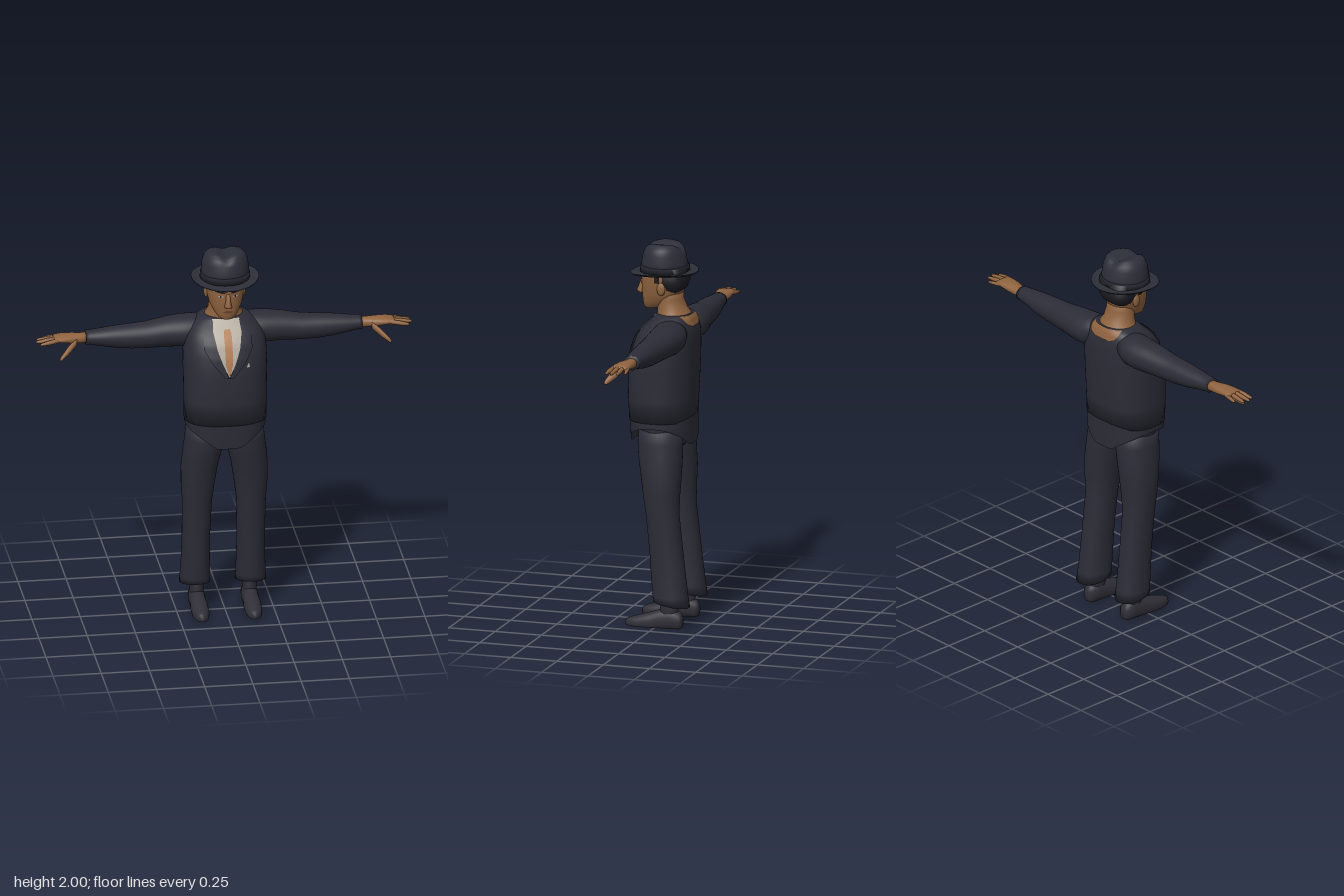
import * as THREE from 'three';

const mat = (name, color, side = THREE.FrontSide) => {
  const m = new THREE.MeshStandardMaterial({ color, side });
  m.name = name;
  return m;
};

// Rounded-section skin over rings [y, rx, rz, cx, cz], listed upwards; n sets the squareness
function loft(rings, n = 2, seg = 40, cap = true, rule = null) {
  const pos = [], idx = [], k = rings.length;
  const pw = v => Math.sign(v) * Math.abs(v) ** (2 / n);
  for (const [y, rx, rz, cx = 0, cz = 0] of rings) {
    for (let j = 0; j < seg; j++) {
      const t = (j / seg) * Math.PI * 2;
      pos.push(cx + rx * pw(Math.cos(t)), y, cz + rz * pw(Math.sin(t)));
    }
  }
  for (let i = 0; i < k - 1; i++) {
    for (let j = 0; j < seg; j++) {
      const a = i * seg + j, b = i * seg + (j + 1) % seg;
      idx.push(a, a + seg, b, b, a + seg, b + seg);
    }
  }
  if (cap) {
    for (const i of [0, k - 1]) {
      const c = pos.length / 3, [y, , , cx = 0, cz = 0] = rings[i];
      pos.push(cx, y, cz);
      for (let j = 0; j < seg; j++) {
        const a = i * seg + j, b = i * seg + (j + 1) % seg;
        if (i) idx.push(a, c, b); else idx.push(b, c, a);
      }
    }
  }
  return finish(pos, idx, rule);
}

function finish(pos, idx, rule) {
  const g = new THREE.BufferGeometry();
  g.setAttribute('position', new THREE.Float32BufferAttribute(pos, 3));
  g.setIndex(idx);
  return rule ? bend(g, rule) : (g.computeVertexNormals(), g);
}

// Move every vertex by a rule
function bend(g, rule) {
  const p = g.attributes.position, v = new THREE.Vector3();
  for (let i = 0; i < p.count; i++) {
    rule(v.fromBufferAttribute(p, i));
    p.setXYZ(i, v.x, v.y, v.z);
  }
  g.computeVertexNormals();
  return g;
}

// Lofts running along x or z: rings [x, ry, rz, y, z] or [z, rx, ry, x, y]
const alongX = (r, n, seg) => loft(r.map(([x, ry, rz, y, z]) => [x, ry, rz, -y, z]), n, seg).rotateZ(-Math.PI / 2);
const alongZ = (r, n, seg) => loft(r.map(([z, rx, ry, x, y]) => [z, rx, ry, x, -y]), n, seg).rotateX(Math.PI / 2);

function mirror(g) {
  const m = g.clone().scale(-1, 1, 1), a = m.index.array;
  for (let i = 0; i < a.length; i += 3) [a[i], a[i + 1]] = [a[i + 1], a[i]];
  return m;
}

// Depth of a lofted surface at x, y
function surfaceZ(rings, n, x, y, s) {
  let i = 0;
  while (i < rings.length - 2 && y > rings[i + 1][0]) i++;
  const A = rings[i], B = rings[i + 1];
  const t = THREE.MathUtils.clamp((y - A[0]) / (B[0] - A[0]), 0, 1);
  const [, rx, rz, , cz] = A.map((v, q) => v + (B[q] - v) * t);
  return cz + s * rz * Math.max(0, 1 - Math.abs(x / rx) ** n) ** (1 / n);
}

// Thin panel hugging a lofted surface; rows [y, x0, x1] listed downwards
function panel(rings, n, rows, lift = 0.005, s = 1) {
  const pos = [], idx = [], sub = 6, cols = 8, total = (rows.length - 1) * sub;
  for (let i = 0; i <= total; i++) {
    const r = Math.min(Math.floor(i / sub), rows.length - 2), t = i / sub - r;
    const [y, x0, x1] = rows[r].map((v, q) => v + (rows[r + 1][q] - v) * t);
    for (let j = 0; j <= cols; j++) {
      const x = x0 + (x1 - x0) * j / cols;
      pos.push(x, y, surfaceZ(rings, n, x, y, s) + s * lift);
    }
  }
  for (let i = 0; i < total; i++) {
    for (let j = 0; j < cols; j++) {
      const a = i * (cols + 1) + j, b = a + cols + 1;
      if (s > 0) idx.push(a, b, a + 1, a + 1, b, b + 1);
      else idx.push(a, a + 1, b, a + 1, b + 1, b);
    }
  }
  return finish(pos, idx);
}

const TORSO = [
  [1.085, 0.213, 0.163, 0, 0.005], [1.2, 0.212, 0.17, 0, 0.005], [1.35, 0.215, 0.172, 0, 0],
  [1.45, 0.215, 0.165, 0, -0.01], [1.52, 0.208, 0.152, 0, -0.022], [1.56, 0.192, 0.137, 0, -0.033],
  [1.59, 0.172, 0.117, 0, -0.044], [1.615, 0.142, 0.1, 0, -0.054], [1.635, 0.11, 0.085, 0, -0.058]];
const HEAD = [
  [1.652, 0.03, 0.028, 0, 0.07], [1.662, 0.047, 0.052, 0, 0.056], [1.69, 0.068, 0.085, 0, 0.028],
  [1.73, 0.086, 0.105, 0, 0.011], [1.78, 0.096, 0.117, 0, 0.001], [1.83, 0.1, 0.121, 0, -0.002],
  [1.88, 0.1, 0.118, 0, -0.002], [1.92, 0.08, 0.09, 0, 0]];

export function createModel() {
  const model = new THREE.Group();
  const suit = mat('suit cloth', 0x2b2c36, THREE.DoubleSide), felt = mat('hat felt', 0x2d2f39);
  const bandMat = mat('hat band', 0x25262f), leather = mat('shoe leather', 0x302f38);
  const skin = mat('skin', 0x8f633f), hair = mat('hair', 0x1b1a20), shirt = mat('shirt', 0xb4ab9e);
  const tie = mat('tie', 0xb07b52), lips = mat('lips', 0x70432f), eyeWhite = mat('eye white', 0xa9a6a6);
  const add = (name, g, m) => {
    const mesh = new THREE.Mesh(g, m);
    mesh.name = name;
    model.add(mesh);
  };
  const pair = (name, g, m) => {
    add('left' + name, g, m);
    add('right' + name, mirror(g), m);
  };

  // Jacket with its pointed lower layer
  add('jacket', loft(TORSO, 2.5, 56), suit);
  add('jacketTails', loft([[1.055, 0.208, 0.16, 0, 0], [1.09, 0.209, 0.162, 0, 0.002], [1.12, 0.205, 0.16, 0, 0.003]], 2.5, 56, false, v => {
    if (v.y < 1.06) v.y -= Math.min(0.1, 0.14 * (1 - Math.abs(v.x) / 0.208));
  }), suit);
  pair('Lapel', panel(TORSO, 2.5, [[1.625, 0.068, 0.09], [1.58, 0.073, 0.122], [1.5, 0.058, 0.125], [1.43, 0.033, 0.085], [1.355, 0, 0.02]], 0.009), suit);
  add('shirtFront', panel(TORSO, 2.5, [[1.63, -0.07, 0.07], [1.58, -0.076, 0.076], [1.5, -0.061, 0.061], [1.43, -0.036, 0.036], [1.36, 0, 0]]), shirt);
  add('tie', panel(TORSO, 2.5, [[1.59, -0.014, 0.014], [1.57, -0.02, 0.02], [1.43, -0.019, 0.019], [1.37, -0.004, 0.004]], 0.008), tie);
  add('pocketSquare', panel(TORSO, 2.5, [[1.425, 0.098, 0.104], [1.405, 0.09, 0.108]], 0.007), shirt);

  // Sleeves
  pair('Sleeve', alongX([
    [0.1, 0.07, 0.08, 1.55, -0.075], [0.16, 0.083, 0.095, 1.537, -0.075], [0.22, 0.083, 0.095, 1.535, -0.077],
    [0.3, 0.077, 0.084, 1.533, -0.074], [0.4, 0.069, 0.073, 1.525, -0.065], [0.48, 0.065, 0.067, 1.524, -0.062],
    [0.56, 0.058, 0.061, 1.526, -0.06], [0.65, 0.044, 0.05, 1.53, -0.057], [0.7, 0.037, 0.043, 1.532, -0.057],
    [0.715, 0.038, 0.044, 1.532, -0.057]]), suit);

  // Hands
  pair('Palm', alongX([
    [0.7, 0.026, 0.03, 1.531, -0.056], [0.74, 0.025, 0.032, 1.532, -0.055], [0.79, 0.024, 0.043, 1.536, -0.05],
    [0.84, 0.019, 0.047, 1.54, -0.048], [0.875, 0.014, 0.045, 1.54, -0.047], [0.882, 0.008, 0.04, 1.54, -0.047]], 2.3, 24), skin);
  const finger = (name, a, b, r0, r1) => {
    const ring = (t, r) => [a[0] + (b[0] - a[0]) * t, r, r, a[1] + (b[1] - a[1]) * t, a[2] + (b[2] - a[2]) * t];
    pair(name, alongX([ring(0, r0), ring(0.5, r0), ring(0.9, r1), ring(0.98, r1 * 0.6), ring(1, r1 * 0.2)], 2, 12), skin);
  };
  finger('IndexFinger', [0.86, 1.54, -0.012], [0.957, 1.527, 0.002], 0.012, 0.008);
  finger('MiddleFinger', [0.86, 1.541, -0.036], [0.975, 1.53, -0.031], 0.012, 0.008);
  finger('RingFinger', [0.86, 1.54, -0.06], [0.968, 1.53, -0.064], 0.0115, 0.008);
  finger('LittleFinger', [0.85, 1.537, -0.083], [0.932, 1.528, -0.095], 0.01, 0.007);
  finger('Thumb', [0.765, 1.524, -0.025], [0.86, 1.45, 0.037], 0.021, 0.013);

  // Trousers, ankles and shoes
  add('trouserSeat', loft([[0.935, 0.13, 0.09, 0, -0.012], [0.965, 0.192, 0.112, 0, -0.013], [1.05, 0.2, 0.125, 0, -0.008], [1.1, 0.2, 0.135, 0, 0]], 2.4), suit);
  pair('TrouserLeg', loft([
    [0.12, 0.145 - 0.065, 0.095, 0.145, -0.085], [0.17, 0.077, 0.092, 0.144, -0.079], [0.28, 0.073, 0.09, 0.143, -0.068],
    [0.4, 0.072, 0.087, 0.142, -0.057], [0.6, 0.076, 0.086, 0.14, -0.035], [0.7, 0.086, 0.095, 0.137, -0.029],
    [0.8, 0.094, 0.105, 0.13, -0.025], [0.9, 0.1, 0.114, 0.114, -0.016], [0.97, 0.102, 0.117, 0.103, -0.012],
    [1.04, 0.098, 0.11, 0.1, -0.01]], 2.2, 40, true, v => {
    if (v.y < 0.13) v.y = 0.143 + 0.16 * v.z;
  }), suit);
  pair('Ankle', loft([[0.06, 0.036, 0.05, 0.137, -0.07], [0.2, 0.036, 0.046, 0.138, -0.075]], 2, 24), leather);
  pair('Shoe', bend(alongZ([
    [-0.14, 0.022, 0.03, 0.137, 0.034], [-0.128, 0.037, 0.048, 0.137, 0.038], [-0.08, 0.043, 0.06, 0.137, 0.045],
    [-0.02, 0.041, 0.056, 0.137, 0.036], [0.03, 0.045, 0.05, 0.137, 0.025], [0.09, 0.044, 0.042, 0.137, 0.015],
    [0.14, 0.031, 0.032, 0.137, 0.01], [0.158, 0.018, 0.024, 0.137, 0.01], [0.165, 0.006, 0.01, 0.137, 0.01]], 2.2, 28), v => {
    v.y = Math.max(0, v.y);
  }), leather);

  // Neck, with the open back of the collar
  add('neck', loft([
    [1.57, 0.1, 0.09, 0, -0.065], [1.6, 0.118, 0.097, 0, -0.061], [1.632, 0.1, 0.087, 0, -0.053],
    [1.66, 0.083, 0.077, 0, -0.043], [1.71, 0.078, 0.068, 0, -0.032], [1.78, 0.078, 0.07, 0, -0.03]]), skin);
  add('napeSkin', panel(TORSO, 2.5, [[1.635, -0.1, 0.1], [1.61, -0.1, 0.1], [1.59, -0.085, 0.085], [1.578, -0.05, 0.05]], 0.006, -1), skin);

  // Head and face
  add('head', loft(HEAD, 2.2, 48), skin);
  add('nose', loft([
    [1.724, 0.012, 0.012, 0, 0.118], [1.731, 0.02, 0.028, 0, 0.118], [1.74, 0.018, 0.032, 0, 0.118],
    [1.765, 0.012, 0.022, 0, 0.117], [1.8, 0.01, 0.01, 0, 0.115]], 2, 20), skin);
  pair('Ear', new THREE.SphereGeometry(1, 16, 12).scale(0.011, 0.034, 0.022).translate(0.097, 1.772, -0.012), skin);
  pair('Eyebrow', panel(HEAD, 2.2, [[1.82, 0.035, 0.05], [1.812, 0.014, 0.066], [1.805, 0.014, 0.034]], 0.004), hair);
  pair('EyeWhite', panel(HEAD, 2.2, [[1.793, 0.033, 0.041], [1.787, 0.022, 0.053], [1.782, 0.032, 0.042]], 0.003), eyeWhite);
  pair('Pupil', panel(HEAD, 2.2, [[1.794, 0.034, 0.041], [1.782, 0.034, 0.041]], 0.0045), hair);
  add('lips', panel(HEAD, 2.2, [[1.707, -0.012, 0.012], [1.7, -0.028, 0.028], [1.692, -0.014, 0.014]], 0.004), lips);
  add('hair', loft([
    [1.745, 0.062, 0.045, 0, -0.045], [1.765, 0.088, 0.066, 0, -0.047], [1.8, 0.101, 0.078, 0, -0.049],
    [1.88, 0.104, 0.078, 0, -0.047]], 2.7), hair);
  pair('Sideburn', new THREE.BoxGeometry(0.008, 0.06, 0.022).translate(0.099, 1.832, 0.012), hair);

  // Hat: pinched crown, band and curved brim
  add('hatCrown', loft([
    [1.845, 0.127, 0.124], [1.9, 0.123, 0.118], [1.945, 0.119, 0.109], [1.975, 0.109, 0.099],
    [1.992, 0.093, 0.085], [2, 0.07, 0.066], [2, 0.045, 0.045], [2, 0.02, 0.02]], 2, 48, true, v => {
    if (v.y > 1.96) v.y -= 0.02 * Math.exp(-((v.x / 0.035) ** 2));
  }), felt);
  add('hatBand', loft([[1.85, 0.13, 0.127], [1.885, 0.1275, 0.1235]], 2, 48), bandMat);
  const brim = [[0.1, 1.845], [0.135, 1.841], [0.165, 1.843], [0.176, 1.849], [0.174, 1.853], [0.16, 1.85], [0.135, 1.851], [0.1, 1.857]];
  add('hatBrim', bend(new THREE.LatheGeometry(brim.map(p => new THREE.Vector2(...p)), 48), v => {
    const e = Math.max(0, Math.hypot(v.x, v.z) - 0.1) / 0.076;
    v.y += e * (0.01 * (v.x / 0.176) ** 2 - 0.012 * Math.max(0, v.z) / 0.176 + 0.004 * Math.max(0, -v.z) / 0.176);
  }), felt);

  return model;
}
